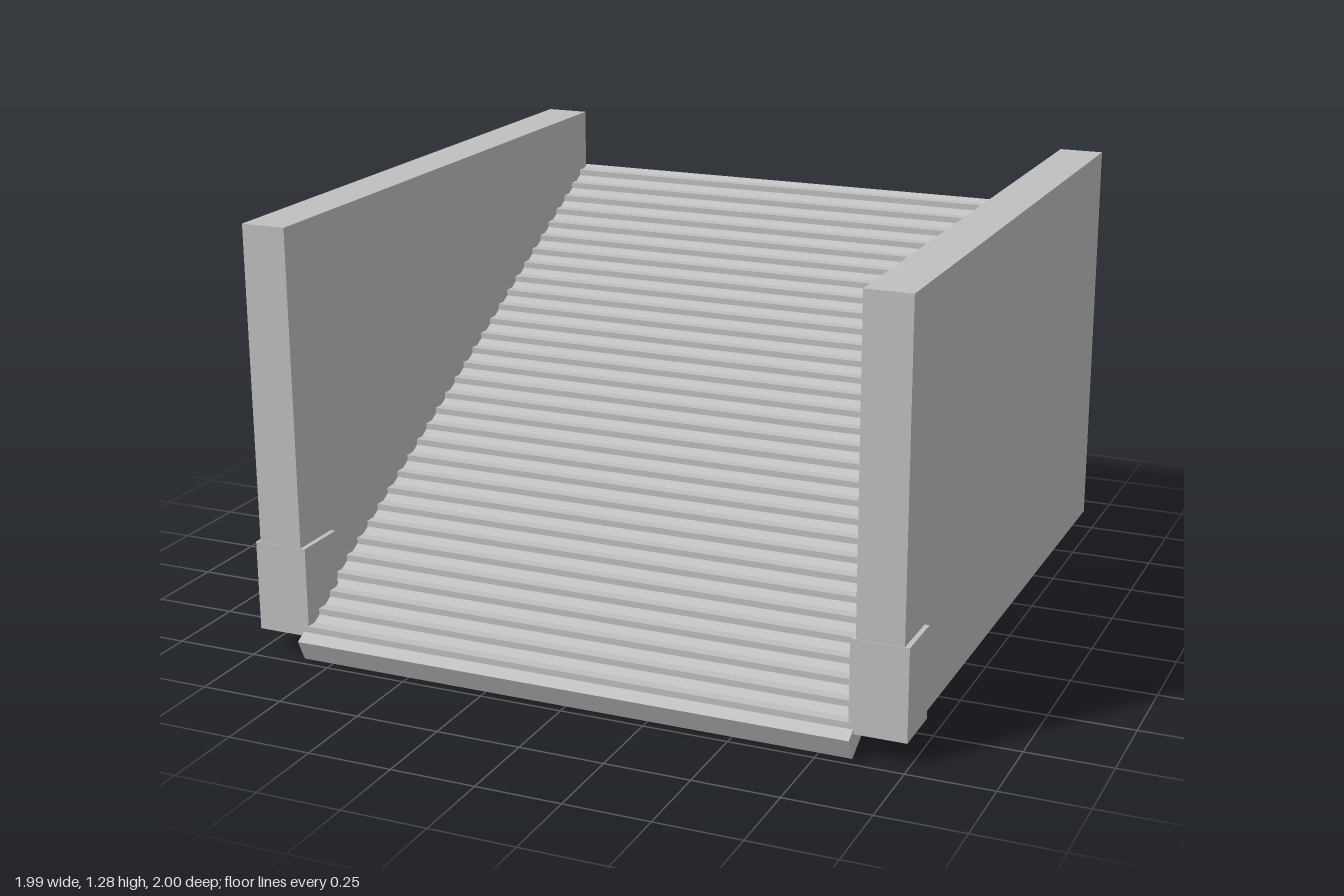
import * as THREE from 'three';

const grey = new THREE.MeshStandardMaterial({ color: 0xc0c0c0 });
grey.name = 'plain grey';

// Extrudes a side profile of [z, y] points across the width, centred on x = 0
function acrossWidth(name, points, width) {
  const shape = new THREE.Shape(points.map(([z, y]) => new THREE.Vector2(z, y)));
  const geometry = new THREE.ExtrudeGeometry(shape, { depth: width, bevelEnabled: false });
  geometry.rotateY(-Math.PI / 2).translate(width / 2, 0, 0);
  const mesh = new THREE.Mesh(geometry, grey);
  mesh.name = name;
  return mesh;
}

// Box given by its lower and upper corners
function boxBetween(name, [x0, y0, z0], [x1, y1, z1]) {
  const mesh = new THREE.Mesh(new THREE.BoxGeometry(x1 - x0, y1 - y0, z1 - z0), grey);
  mesh.position.set((x0 + x1) / 2, (y0 + y1) / 2, (z0 + z1) / 2);
  mesh.name = name;
  return mesh;
}

export function createModel() {
  const model = new THREE.Group();
  model.name = 'steppedRamp';

  // Sloping slab with small level treads along its upper face
  const slope = (1.1 - 0.065) / 1.965;
  const topAt = (z) => 0.065 + slope * (1 - z);
  const profile = [[-1, 1.038], [0.968, 0], [1, 0.065]];
  for (let i = 0; i < 31; i++) {
    const front = 0.965 - i * 0.0625;
    const back = front - 0.035;
    profile.push([front, topAt(front)], [front, topAt(back)], [back, topAt(back)]);
  }
  profile.push([-0.965, 1.1]);
  model.add(acrossWidth('rampWithTreads', profile, 1.69));

  // Solid wedge below the ramp, closing the back and the bottom
  model.add(acrossWidth('base', [[0.86, 0.07], [0.82, 0.1], [-0.96, 1.035], [-0.96, 0.07]], 1.69));

  // Side walls, each with a small block at the front foot
  for (const side of [-1, 1]) {
    const wall = boxBetween('sideWall', [0.845, 0.07, -0.96], [0.98, 1.285, 0.96]);
    const block = boxBetween('footBlock', [0.83, 0.069, 0.795], [0.994, 0.34, 0.962]);
    for (const mesh of [wall, block]) {
      mesh.position.x *= side;
      model.add(mesh);
    }
  }
  return model;
}
